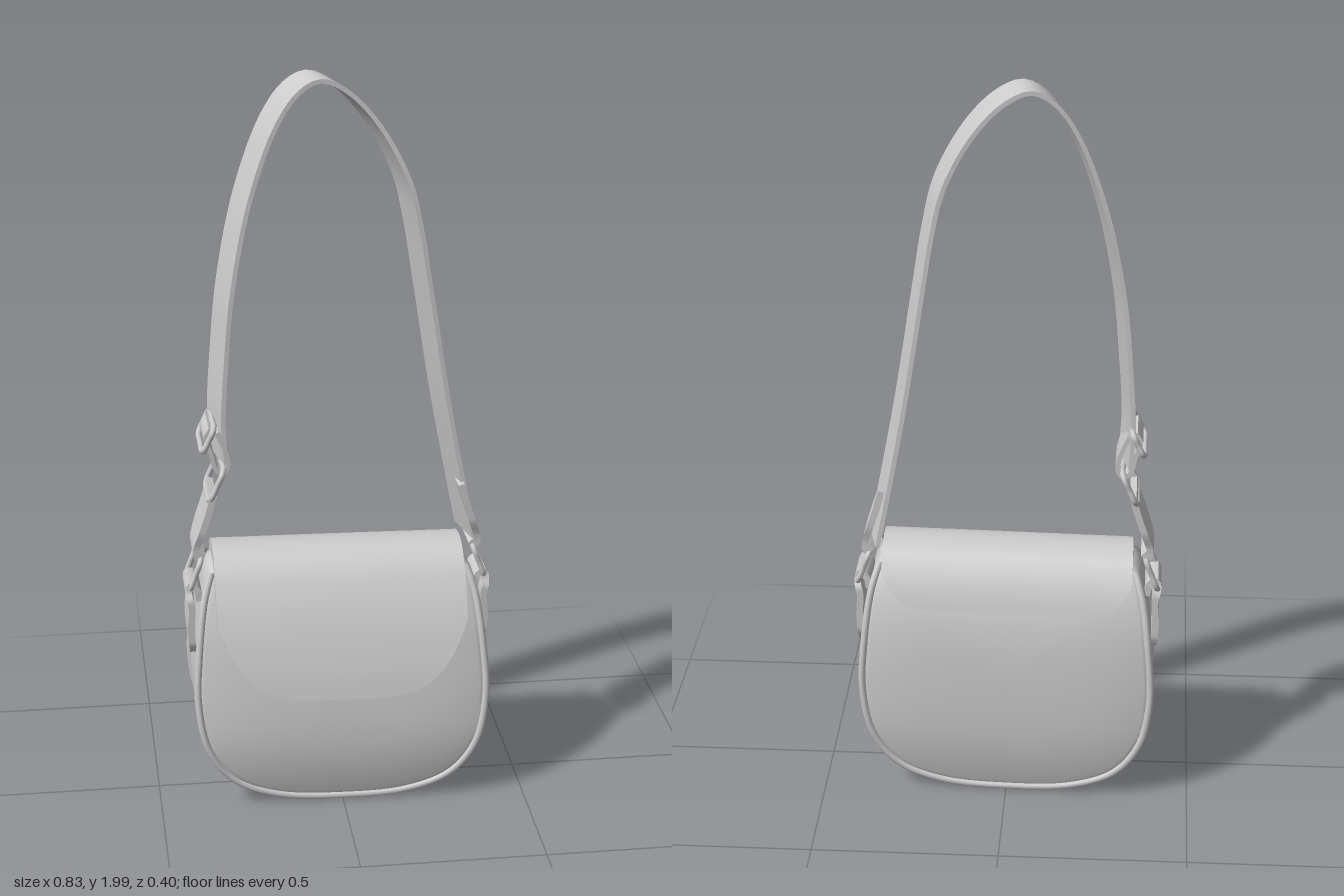
import * as THREE from 'three';
import { toCreasedNormals } from 'three/addons/utils/BufferGeometryUtils.js';

const material = new THREE.MeshStandardMaterial({ color: 0xcccccc, side: THREE.DoubleSide });
const V = (x, y, z = 0) => new THREE.Vector3(x, y, z);
const spline = (pts, closed = false) =>
  new THREE.CatmullRomCurve3(pts.map((p) => V(...p)), closed, 'centripetal');

function part(name, geometry) {
  const mesh = new THREE.Mesh(geometry, material);
  mesh.name = name;
  return mesh;
}

// Skin a row of closed cross-sections, cap both ends and face outwards
function loft(sections, crease = 0.7) {
  const n = sections[0].length, tris = [];
  for (let i = 0; i + 1 < sections.length; i++) {
    for (let j = 0; j < n; j++) {
      const k = (j + 1) % n, a = sections[i], b = sections[i + 1];
      tris.push([a[j], b[j], b[k]], [a[j], b[k], a[k]]);
    }
  }
  for (const [s, first] of [[sections[0], true], [sections.at(-1), false]]) {
    const c = s.reduce((sum, p) => sum.add(p), V(0, 0)).divideScalar(n);
    s.forEach((p, j) => {
      const q = s[(j + 1) % n];
      tris.push(first ? [c, p, q] : [c, q, p]);
    });
  }
  let volume = 0;
  for (const [a, b, c] of tris) volume += a.dot(V(0, 0).crossVectors(b, c));
  const flat = tris.flatMap((t) => (volume < 0 ? [t[0], t[2], t[1]] : t));
  const g = new THREE.BufferGeometry().setFromPoints(flat);
  return toCreasedNormals(g, crease);
}

// Flat strip of leather following a path in x and y, its width lying along z
function band(name, pts, width, thick, zMid, { skew = 0, steps = 40 } = {}) {
  const curve = spline(pts), sections = [];
  const w = typeof width === 'function' ? width : () => width;
  for (let i = 0; i <= steps; i++) {
    const t = i / steps, p = curve.getPointAt(t), d = curve.getTangentAt(t);
    const h = w(t) / 2, nx = (-d.y * thick) / 2, ny = (d.x * thick) / 2;
    const z = zMid + p.z;
    sections.push([[1, 1], [1, -1], [-1, -1], [-1, 1]].map(([a, b]) =>
      V(p.x + nx * a + skew * b, p.y + ny * a, z + h * b)));
  }
  return part(name, loft(sections));
}

// Rounded rectangular wire ring spanning two points, its width along z
function wireRing(name, [x1, y1], [x2, y2], halfWidth, zMid, r = 0.008) {
  const at = (t, z) => [x1 + (x2 - x1) * t, y1 + (y2 - y1) * t, zMid + z * halfWidth];
  const pts = [at(0, -0.8), at(0, 0), at(0, 0.8), at(0.15, 1), at(0.5, 1), at(0.85, 1),
    at(1, 0.8), at(1, 0), at(1, -0.8), at(0.85, -1), at(0.5, -1), at(0.15, -1)];
  return part(name, new THREE.TubeGeometry(spline(pts, true), 72, r, 8, true));
}

// Body measures: outline in x and y, and front and back depth by height
const half = [[0.18, 0.025], [0.3, 0.075], [0.37, 0.17], [0.398, 0.31], [0.392, 0.45],
  [0.372, 0.6], [0.35, 0.67], [0.3, 0.69]];
const outline = spline([[0, 0.012], ...half, [0, 0.695],
  ...half.map(([x, y]) => [-x, y]).reverse()], true);
const profile = (pts) => {
  const c = new THREE.SplineCurve(pts.map((p) => new THREE.Vector2(...p))).getPoints(60);
  return (y) => {
    const i = c.findIndex((p) => p.x >= y);
    if (i < 1) return i ? c.at(-1).y : c[0].y;
    const a = c[i - 1], b = c[i];
    return a.y + ((b.y - a.y) * (y - a.x)) / (b.x - a.x);
  };
};
const frontZ = profile([[0, 0.145], [0.2, 0.158], [0.45, 0.125], [0.6, 0.088], [0.7, 0.045]]);
const backZ = profile([[0, -0.18], [0.2, -0.197], [0.45, -0.187], [0.6, -0.155], [0.7, -0.1]]);
const yaw = (x) => 0.035 * x;

function bodyPoint(p, s, depth) {
  const x = p.x * s, y = 0.36 + (p.y - 0.36) * s, pad = 0.02 * s ** 4;
  const f = frontZ(y) - pad, b = backZ(y) + pad;
  return V(x, y, f + (b - f) * depth + yaw(x));
}

function createBody() {
  const group = new THREE.Group();
  group.name = 'bagBody';
  const ring = outline.getSpacedPoints(96).slice(0, -1);
  const panel = [0.03, 0.25, 0.5, 0.7, 0.85, 0.94, 0.975];
  const stations = [...panel.map((s) => [s, 0]), [0.99, 0.03], [0.995, 0.25], [1, 0.5],
    [0.995, 0.75], [0.99, 0.97], ...panel.map((s) => [s, 1]).reverse()];
  group.add(part('bodyShell', loft(stations.map(([s, d]) => ring.map((p) => bodyPoint(p, s, d))), 0.9)));

  // Piping along both panel edges, open under the flap
  const edge = [...half.slice(0, 7).reverse().map(([x, y]) => [-x, y]), [0, 0.012], ...half.slice(0, 7)];
  const path = spline(edge).getSpacedPoints(50);
  for (const [name, d] of [['frontPiping', 0], ['backPiping', 1]]) {
    const c = new THREE.CatmullRomCurve3(path.map((p) => bodyPoint(p, 0.985, d)));
    group.add(part(name, new THREE.TubeGeometry(c, 120, 0.01, 8)));
  }
  return group;
}

// Flap: folds over the top, with a rounded front edge and a short back edge
function createFlap() {
  const fold = spline([[0.196, 0.34], [0.178, 0.42], [0.138, 0.54], [0.1, 0.62], [0.06, 0.68], [0.02, 0.712],
    [-0.035, 0.722], [-0.1, 0.706], [-0.143, 0.655], [-0.168, 0.6], [-0.182, 0.55]]);
  const samples = fold.getSpacedPoints(400), sections = [];
  for (let i = 0; i <= 48; i++) {
    const u = Math.sin((i / 48 - 0.5) * Math.PI), x = 0.338 * u;
    const frontEnd = 0.345 + 0.2 * Math.abs(u) ** 4.5, backEnd = 0.56 + 0.09 * Math.abs(u) ** 8;
    const t0 = samples.findIndex((p) => p.y >= frontEnd) / 400;
    const t1 = samples.findLastIndex((p) => p.y >= backEnd) / 400;
    const outer = [], inner = [];
    for (let j = 0; j <= 36; j++) {
      const t = t0 + ((t1 - t0) * j) / 36, p = fold.getPointAt(t), d = fold.getTangentAt(t);
      outer.push(V(x, p.y, p.x + yaw(x)));
      inner.unshift(V(x, p.y + d.x * 0.012, p.x - d.y * 0.012 + yaw(x)));
    }
    sections.push([...outer, ...inner]);
  }
  return part('flap', loft(sections));
}

// Side tab, ring and strap end, alike on both sides
function createSideFitting(side, name) {
  const group = new THREE.Group();
  group.name = name;
  const m = (pts) => pts.map(([x, y]) => [x * side, y]);
  const tabWidth = (t) => (t < 0.12 ? 0.11 + 0.035 * Math.sqrt(t / 0.12)
    : 0.145 - 0.035 * THREE.MathUtils.smoothstep(t, 0.6, 0.75));
  group.add(
    band('sideTab', m([[0.398, 0.43], [0.403, 0.5], [0.4, 0.57], [0.407, 0.605], [0.402, 0.625],
      [0.385, 0.615], [0.377, 0.58]]), tabWidth, 0.018, -0.03),
    wireRing('sideRing', [0.406 * side, 0.605], [0.371 * side, 0.7], 0.062, -0.04),
    band('strapEnd', m([[0.366, 0.715], [0.378, 0.7], [0.384, 0.715], [0.368, 0.775], [0.35, 0.83], [0.335, 0.885]]),
      (t) => 0.115 + 0.025 * THREE.MathUtils.smoothstep(t, 0.2, 0.5), 0.018, -0.043),
  );
  return group;
}

export function createModel() {
  const bag = new THREE.Group();
  bag.name = 'shoulderBag';
  bag.add(createBody(), createFlap(),
    createSideFitting(1, 'leftSideFitting'), createSideFitting(-1, 'rightSideFitting'));

  // Long shoulder strap, drifting slightly in z
  bag.add(band('shoulderStrap', [[-0.312, 0.97, 0], [-0.318, 1.08, 0], [-0.308, 1.25, 0], [-0.288, 1.45, 0],
    [-0.238, 1.69, -0.01], [-0.165, 1.885, -0.017], [-0.105, 1.967, -0.02], [-0.05, 1.993, -0.02],
    [0.015, 1.965, -0.018], [0.095, 1.88, -0.01], [0.175, 1.73, 0.003], [0.207, 1.6, 0.005],
    [0.235, 1.43, 0.003], [0.285, 1.12, 0], [0.33, 0.88, 0], [0.362, 0.72, 0]],
  (t) => 0.125 - 0.018 * Math.sin(Math.PI * t) ** 2, 0.012, -0.053, { skew: 0.014, steps: 120 }));

  // Adjuster on the right side: link, strap loop and slider buckle
  bag.add(
    wireRing('adjusterLink', [-0.345, 0.868], [-0.306, 0.955], 0.075, -0.05),
    band('adjusterLoop', [[-0.322, 1.06], [-0.298, 1.0], [-0.293, 0.96], [-0.308, 0.943], [-0.326, 0.955],
      [-0.338, 1.0], [-0.352, 1.045], [-0.338, 1.07]], 0.118, 0.012, -0.05),
    wireRing('sliderBuckle', [-0.362, 1.012], [-0.33, 1.078], 0.08, -0.05),
    wireRing('sliderBar', [-0.35, 1.03], [-0.344, 1.044], 0.076, -0.05, 0.006),
  );
  return bag;
}
